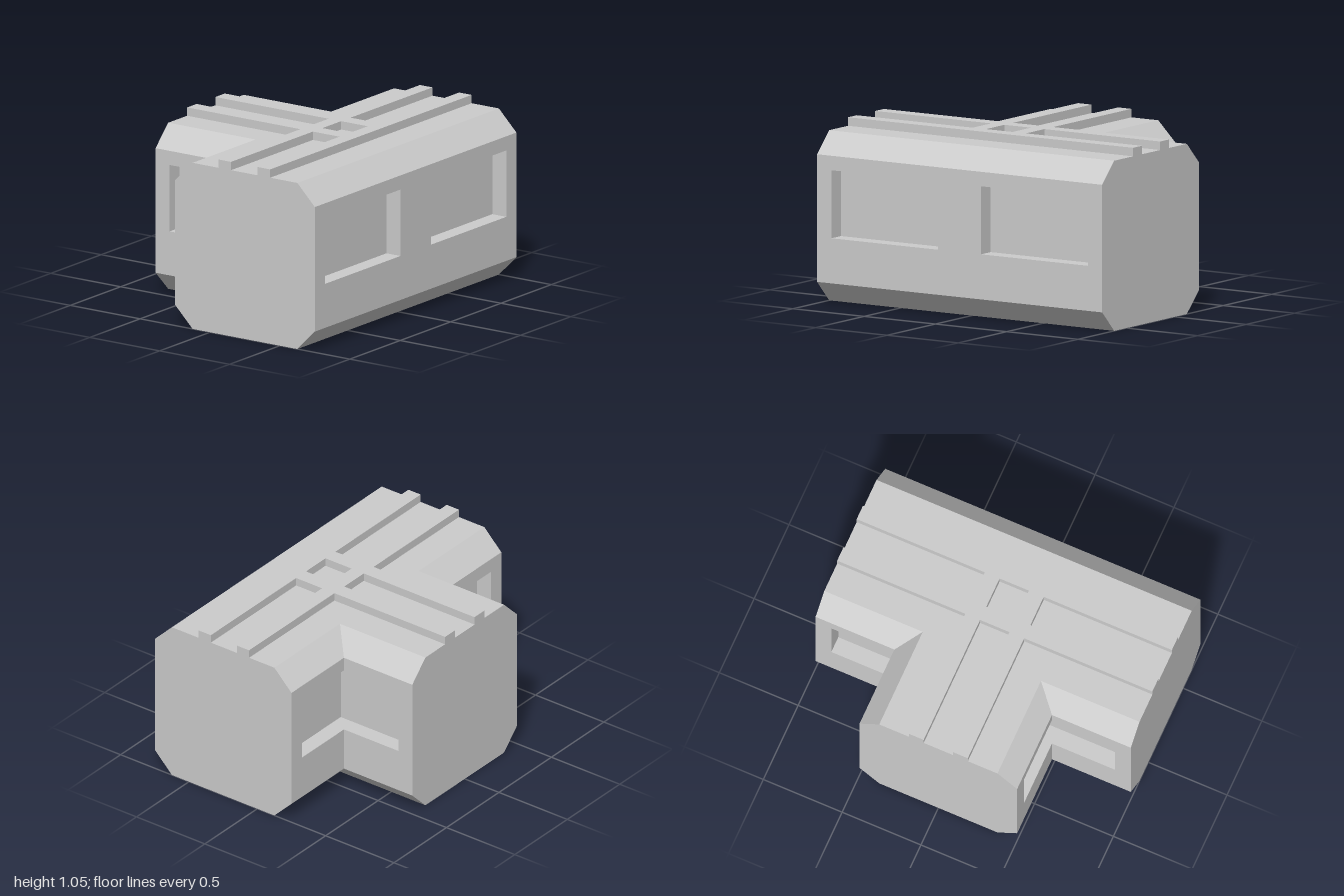
import * as THREE from 'three';

const material = new THREE.MeshStandardMaterial({ color: 0xcccccc, flatShading: true });

// Complete a half outline (z > 0, from +x round to -x) by mirroring it in z
const mirror = (half) => [...half, ...half.map(([x, z]) => [x, -z]).reverse()]
  .map(([x, z]) => new THREE.Vector2(x, z));

// T-shaped floor plan; long walls move inwards by d, the three ends stay put
const plan = (d) => mirror([[0.75 - d, 1], [-0.25 + d, 1], [-0.25 + d, 0.5 - d], [-0.75, 0.5 - d]]);

// Same plan with the window recesses cut in, meeting round the inner corners
const recessedPlan = mirror([
  [0.75, 0.15], [0.65, 0.15], [0.65, 0.9], [0.75, 0.9], [0.75, 1],
  [-0.25, 1], [-0.25, 0.9], [-0.15, 0.9], [-0.15, 0.4], [-0.65, 0.4], [-0.65, 0.5], [-0.75, 0.5],
]);

// Closed flat-faced body through outlines [y, points] stacked upwards
function loft(name, levels) {
  const pos = [];
  const put = (y, p) => pos.push(p.x, y, p.y);
  for (let k = 0; k < levels.length - 1; k++) {
    const [y0, lo] = levels[k], [y1, hi] = levels[k + 1];
    lo.forEach((a, i) => {
      const j = (i + 1) % lo.length;
      put(y0, lo[j]); put(y0, a); put(y1, hi[i]);
      put(y0, lo[j]); put(y1, hi[i]); put(y1, hi[j]);
    });
  }
  const cap = ([y, pts], up) => {
    for (const f of THREE.ShapeUtils.triangulateShape(pts, [])) {
      (up ? [...f].reverse() : f).forEach((i) => put(y, pts[i]));
    }
  };
  cap(levels[0], false);
  cap(levels[levels.length - 1], true);
  const geo = new THREE.BufferGeometry();
  geo.setAttribute('position', new THREE.Float32BufferAttribute(pos, 3));
  geo.computeVertexNormals();
  const mesh = new THREE.Mesh(geo, material);
  mesh.name = name;
  return mesh;
}

// Crossing roof rails as one raised lattice with an open middle
function roofRails() {
  const a = 0.093, b = 0.187;
  const shape = new THREE.Shape(mirror([
    [0.43, 1], [0.34, 1], [0.34, b], [0.15, b], [0.15, 1], [0.06, 1],
    [0.06, b], [-0.75, b], [-0.75, a], [0.06, a],
  ]));
  shape.holes.push(new THREE.Path([[0.15, -a], [0.15, a], [0.34, a], [0.34, -a]]
    .map(([x, z]) => new THREE.Vector2(x, z))));
  const geo = new THREE.ExtrudeGeometry(shape, { depth: 0.05, bevelEnabled: false });
  geo.rotateX(-Math.PI / 2).translate(0, 1, 0);
  const mesh = new THREE.Mesh(geo, material);
  mesh.name = 'roofRails';
  return mesh;
}

export function createModel() {
  const group = new THREE.Group();
  group.name = 'corridorJunction';
  group.add(
    loft('lowerHull', [[0, plan(0.125)], [0.125, plan(0)], [0.39, plan(0)]]),
    loft('windowBand', [[0.39, recessedPlan], [0.79, recessedPlan]]),
    loft('upperHull', [[0.79, plan(0)], [0.875, plan(0)], [1, plan(0.125)]]),
    roofRails(),
  );
  return group;
}
